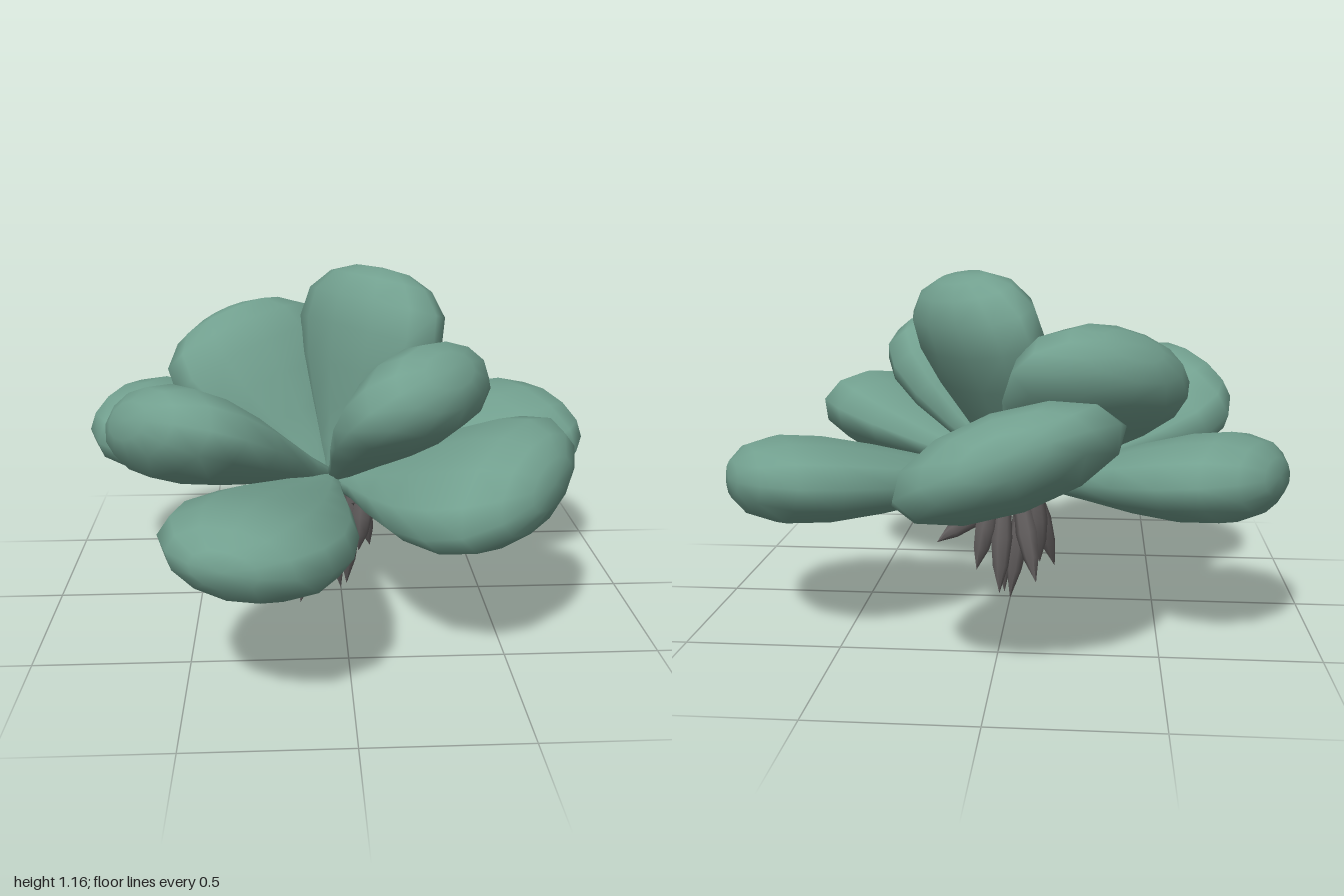
import * as THREE from 'three';

const leafMaterial = new THREE.MeshStandardMaterial({ color: 0x72a08f });
const rootMaterial = new THREE.MeshStandardMaterial({ color: 0x625e5e });

// Leaf sections: position along the leaf, relative width, relative thickness
const SECTIONS = [
  [0, 0.14, 0.22], [0.15, 0.33, 0.34], [0.33, 0.62, 0.55], [0.52, 0.88, 0.8],
  [0.7, 1, 0.98], [0.84, 0.93, 1], [0.94, 0.68, 0.78], [0.99, 0.36, 0.42],
];
const SIDES = 12;

// Plump spoon-shaped leaf from base to tip; roll lifts one edge
function makeLeaf(base, tip, halfWidth, halfThickness, roll) {
  const axis = tip.clone().sub(base);
  const dir = axis.clone().normalize();
  const across = new THREE.Vector3(-dir.z, 0, dir.x).normalize();
  const normal = across.clone().cross(dir);
  across.applyAxisAngle(dir, -roll);
  normal.applyAxisAngle(dir, -roll);

  const positions = [];
  const index = [];
  const add = (p) => positions.push(p.x, p.y, p.z);
  for (const [t, w, h] of SECTIONS) {
    for (let i = 0; i < SIDES; i++) {
      const a = (i / SIDES) * Math.PI * 2;
      add(base.clone().addScaledVector(axis, t)
        .addScaledVector(across, Math.cos(a) * w * halfWidth)
        .addScaledVector(normal, Math.sin(a) * h * halfThickness));
    }
  }
  const last = (SECTIONS.length - 1) * SIDES;
  const baseCentre = positions.length / 3;
  add(base);
  add(tip);
  for (let i = 0; i < SIDES; i++) {
    const j = (i + 1) % SIDES;
    for (let r = 0; r < last; r += SIDES) {
      index.push(r + i, r + SIDES + i, r + j, r + j, r + SIDES + i, r + SIDES + j);
    }
    index.push(baseCentre, i, j);
    index.push(last + i, baseCentre + 1, last + j);
  }
  const geometry = new THREE.BufferGeometry();
  geometry.setAttribute('position', new THREE.Float32BufferAttribute(positions, 3));
  geometry.setIndex(index);
  geometry.computeVertexNormals();
  return new THREE.Mesh(geometry, leafMaterial);
}

// Spindle-shaped root pointing from start to tip
function makeRoot(start, tip) {
  const axis = tip.clone().sub(start);
  const length = axis.length();
  const profile = [[0.016, 0], [0.03, 0.25], [0.038, 0.5], [0.028, 0.75], [0, 1]]
    .map(([r, t]) => new THREE.Vector2(r, t * length));
  const mesh = new THREE.Mesh(new THREE.LatheGeometry(profile, 7), rootMaterial);
  mesh.position.copy(start);
  mesh.quaternion.setFromUnitVectors(new THREE.Vector3(0, 1, 0), axis.normalize());
  return mesh;
}

export function createModel() {
  const model = new THREE.Group();

  // Leaves: name, tip, half width, half thickness, roll
  const leaves = [
    ['backLeaf', [-0.06, 0.75, -0.995], 0.35, 0.14, -0.34],
    ['backLeftLeaf', [0.85, 0.54, -0.45], 0.335, 0.14, -0.12],
    ['backRightLeaf', [-0.85, 0.58, -0.45], 0.3, 0.14, 0.08],
    ['frontLeaf', [-0.36, 0.54, 0.985], 0.28, 0.13, 0.1],
    ['frontLeftLeaf', [0.61, 0.62, 0.58], 0.35, 0.155, -0.25],
    ['frontRightLeaf', [-0.68, 0.78, 0.39], 0.32, 0.15, -0.25],
    ['upperBackRightLeaf', [-0.41, 0.96, -0.34], 0.33, 0.15, 0.32],
    ['upperFrontLeftLeaf', [0.31, 0.94, 0.44], 0.29, 0.15, -0.12],
    ['topLeaf', [0.15, 1.155, -0.13], 0.33, 0.165, 0],
  ];
  for (const [name, tip, width, thickness, roll] of leaves) {
    const base = new THREE.Vector3(-0.03 + tip[0] * 0.03, 0.45, tip[2] * 0.03);
    const leaf = makeLeaf(base, new THREE.Vector3(...tip), width, thickness, roll);
    leaf.name = name;
    model.add(leaf);
  }

  // Short stem joining leaves and roots
  const stem = new THREE.Mesh(new THREE.CylinderGeometry(0.04, 0.05, 0.08, 8), leafMaterial);
  stem.name = 'stem';
  stem.position.set(-0.01, 0.46, 0);
  model.add(stem);

  // Roots: start and tip
  const roots = new THREE.Group();
  roots.name = 'roots';
  const rootEnds = [
    [[-0.05, 0.44, 0.12], [-0.15, 0.06, 0.2]],
    [[-0.08, 0.44, 0.06], [-0.1, 0.11, 0.09]],
    [[-0.06, 0.44, 0], [0, 0.01, -0.02]],
    [[0.04, 0.44, 0.01], [0.02, 0.03, -0.01]],
    [[0.02, 0.44, -0.04], [0.03, 0.06, -0.11]],
    [[0.05, 0.44, -0.06], [0.11, 0.14, -0.1]],
    [[0.04, 0.37, 0.03], [0.25, 0.23, -0.08]],
    [[-0.03, 0.44, -0.06], [-0.1, 0.12, -0.16]],
    [[0.08, 0.44, 0.02], [0.06, 0.18, 0.04]],
  ];
  for (const [start, tip] of rootEnds) {
    roots.add(makeRoot(new THREE.Vector3(...start), new THREE.Vector3(...tip)));
  }
  model.add(roots);
  return model;
}
